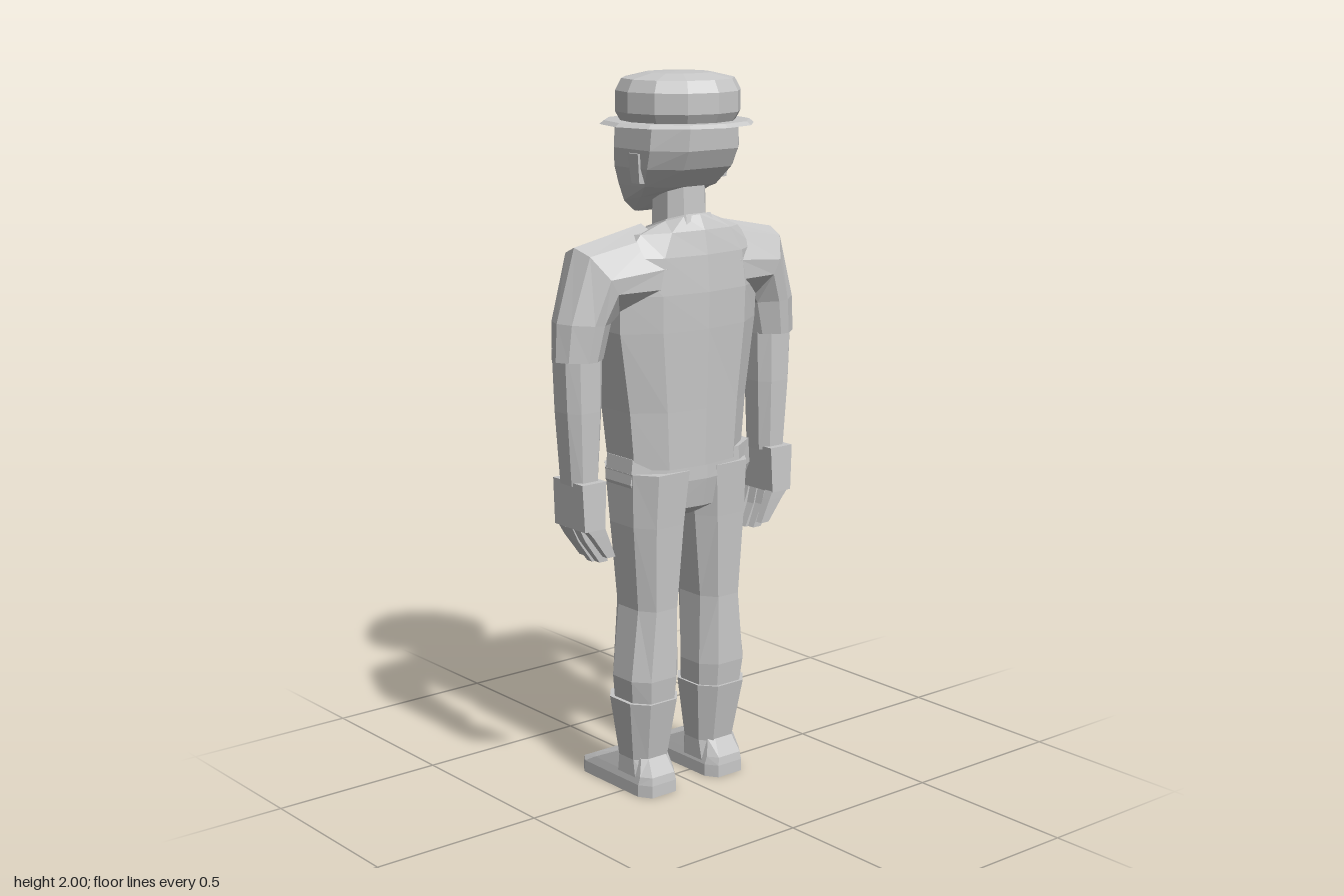
import * as THREE from 'three';

const grey = new THREE.MeshStandardMaterial({ color: 0xc8c8c8, flatShading: true });
grey.name = 'plain grey';

// Cross-sections in unit coordinates: u across the limb, w along z
const quad = (pts) => [
  ...pts, ...pts.map(([u, w]) => [-u, w]).reverse(),
  ...pts.map(([u, w]) => [-u, -w]), ...pts.map(([u, w]) => [u, -w]).reverse(),
].filter((p, i, all) => {
  const q = all[(i + 1) % all.length];
  return Math.hypot(p[0] - q[0], p[1] - q[1]) > 1e-6;
});
const OCT = quad([[1, 0.5], [0.55, 1]]);
const LENS = quad([[1, 0.45], [0.6, 0.88], [0, 1]]);
const POINTED = quad([[1, 0], [0.8, 0.55], [0.2, 1]]);
const SHOE = quad([[1, 0.78], [0.65, 1]]);
const BOX = quad([[1, 1]]);

// Rings run from a to b in the xy plane and from z0 to z1; tilt raises the +z edge
const ring = (ax, ay, bx, by, z0, z1, tilt = 0) => ({ ax, ay, bx, by, z0, z1, tilt });
const flat = (y, x0, x1, z0, z1, tilt = 0) => ring(x0, y, x1, y, z0, z1, tilt);

// Closed, faceted skin through a row of rings; side -1 mirrors it in x
function loft(name, section, rings, side = 1) {
  const n = section.length;
  const rows = rings.map((r) => section.map(([u, w]) => new THREE.Vector3(
    side * (r.ax + (r.bx - r.ax) * (u + 1) / 2),
    r.ay + (r.by - r.ay) * (u + 1) / 2 + r.tilt * w,
    r.z0 + (r.z1 - r.z0) * (w + 1) / 2)));
  const tris = [];
  for (let i = 0; i + 1 < rows.length; i++) {
    for (let j = 0; j < n; j++) {
      const k = (j + 1) % n;
      const [a, b, c, d] = [rows[i][j], rows[i][k], rows[i + 1][k], rows[i + 1][j]];
      tris.push([a, b, c], [a, c, d]);
    }
  }
  const last = rows[rows.length - 1];
  for (let j = 1; j + 1 < n; j++) {
    tris.push([rows[0][0], rows[0][j + 1], rows[0][j]], [last[0], last[j], last[j + 1]]);
  }
  // Turn the skin outwards if its volume is negative
  const volume = tris.reduce((v, [a, b, c]) => v + a.dot(b.clone().cross(c)), 0);
  if (volume < 0) tris.forEach((t) => t.reverse());
  const geometry = new THREE.BufferGeometry().setFromPoints(tris.flat());
  geometry.computeVertexNormals();
  return mesh(name, geometry);
}

function mesh(name, geometry, x = 0, y = 0, z = 0) {
  const m = new THREE.Mesh(geometry, grey);
  m.name = name;
  m.position.set(x, y, z);
  return m;
}
const box = (name, w, h, d, x, y, z) => mesh(name, new THREE.BoxGeometry(w, h, d), x, y, z);

function part(name, ...children) {
  const g = new THREE.Group();
  g.name = name;
  g.add(...children);
  return g;
}

function makeHat() {
  const brim = mesh('brim', new THREE.CylinderGeometry(0.197, 0.21, 0.01, 12), 0, 1.866, 0.008);
  const profile = [[0.155, 1.865], [0.172, 1.895], [0.172, 1.95], [0.155, 1.982], [0.09, 1.997], [0, 2]]
    .map(([r, y]) => new THREE.Vector2(r, y));
  const crown = mesh('crown', new THREE.LatheGeometry(profile, 12), 0, 0, 0.013);
  crown.scale.z = 0.97;
  return part('hat', brim, crown);
}

function makeHead() {
  const head = part('head',
    loft('skull', OCT, [
      flat(1.87, -0.15, 0.15, -0.148, 0.165),
      flat(1.8, -0.155, 0.155, -0.145, 0.16),
      flat(1.75, -0.15, 0.15, -0.142, 0.135),
      flat(1.7, -0.13, 0.13, -0.135, 0.085),
      flat(1.66, -0.105, 0.105, -0.125, 0.02, 0.015),
      flat(1.625, -0.06, 0.06, -0.118, -0.05, 0.01),
    ]),
    loft('neck', OCT, [
      flat(1.73, -0.065, 0.065, -0.045, 0.078),
      flat(1.56, -0.068, 0.068, -0.05, 0.085),
    ]),
    loft('nose', BOX, [
      flat(1.8, -0.012, 0.012, -0.15, -0.12),
      flat(1.74, -0.026, 0.026, -0.168, -0.12),
      flat(1.725, -0.022, 0.022, -0.158, -0.12),
    ]),
    box('upperLip', 0.07, 0.012, 0.03, 0, 1.69, -0.126),
    box('lowerLip', 0.06, 0.012, 0.03, 0, 1.664, -0.122));
  for (const s of [1, -1]) {
    head.add(
      loft('ear', BOX, [
        flat(1.79, 0.14, 0.162, -0.003, 0.042),
        flat(1.71, 0.13, 0.152, 0.003, 0.036),
      ], s),
      loft('brow', BOX, [
        ring(0.02, 1.806, 0.085, 1.815, -0.156, -0.13),
        ring(0.02, 1.792, 0.085, 1.8, -0.152, -0.13),
      ], s),
      box('eye', 0.038, 0.014, 0.008, s * 0.052, 1.776, -0.145),
      loft('moustache', BOX, [
        ring(0, 1.72, 0.06, 1.702, -0.15, -0.11),
        ring(0, 1.704, 0.066, 1.688, -0.143, -0.1),
      ], s));
  }
  return head;
}

function makeShirt() {
  const shirt = part('shirt',
    loft('shirtBody', LENS, [
      flat(0.94, -0.19, 0.19, -0.13, 0.13),
      flat(1.1, -0.205, 0.205, -0.143, 0.135),
      flat(1.32, -0.238, 0.238, -0.16, 0.143),
      flat(1.42, -0.24, 0.24, -0.155, 0.145),
      flat(1.52, -0.225, 0.225, -0.125, 0.138),
      flat(1.575, -0.17, 0.17, -0.1, 0.125, 0.01),
      flat(1.595, -0.08, 0.08, -0.075, 0.105, 0.03),
    ]),
    loft('collar', OCT, [
      flat(1.57, -0.09, 0.09, -0.085, 0.11, 0.025),
      flat(1.6, -0.078, 0.078, -0.07, 0.098, 0.027),
    ]));
  for (const s of [1, -1]) {
    shirt.add(loft('sleeve', POINTED, [
      ring(0.14, 1.33, 0.12, 1.6, -0.12, 0.125),
      ring(0.225, 1.355, 0.345, 1.555, -0.095, 0.1),
      ring(0.243, 1.35, 0.405, 1.36, -0.078, 0.085),
      ring(0.268, 1.258, 0.412, 1.258, -0.062, 0.075),
    ], s));
  }
  return shirt;
}

function makeArm(s) {
  const arm = part(s > 0 ? 'leftArm' : 'rightArm',
    loft('forearm', OCT, [
      flat(1.29, 0.275, 0.4, -0.056, 0.06),
      flat(1.12, 0.28, 0.393, -0.055, 0.058),
      flat(0.92, 0.29, 0.378, -0.05, 0.05),
    ], s),
    loft('palm', BOX, [
      flat(0.93, 0.296, 0.376, -0.06, 0.07),
      flat(0.8, 0.302, 0.37, -0.062, 0.072),
    ], s),
    loft('thumb', BOX, [
      flat(0.92, 0.285, 0.33, -0.085, -0.045),
      flat(0.86, 0.268, 0.312, -0.118, -0.075),
      flat(0.8, 0.262, 0.29, -0.11, -0.085),
    ], s));
  // Four fingers curling inwards
  for (let i = 0; i < 4; i++) {
    const z = -0.061 + i * 0.034;
    const drop = [0.01, 0, 0.005, 0.025][i];
    arm.add(loft('finger', BOX, [
      flat(0.81, 0.305, 0.367, z, z + 0.03),
      flat(0.755 + drop, 0.292, 0.34, z + 0.001, z + 0.029),
      flat(0.69 + drop, 0.264, 0.292, z + 0.004, z + 0.026),
    ], s));
  }
  return arm;
}

function makeLeg(s) {
  return part(s > 0 ? 'leftLeg' : 'rightLeg',
    loft('trouserLeg', OCT, [
      flat(0.93, 0.005, 0.2, -0.118, 0.122),
      flat(0.78, 0.022, 0.196, -0.096, 0.112),
      flat(0.54, 0.045, 0.178, -0.075, 0.1),
      flat(0.34, 0.04, 0.204, -0.066, 0.1),
      flat(0.27, 0.045, 0.195, -0.068, 0.092),
    ], s),
    loft('boot', OCT, [
      flat(0.275, 0.038, 0.207, -0.08, 0.1),
      flat(0.1, 0.058, 0.182, -0.058, 0.068),
      flat(0.04, 0.058, 0.185, -0.07, 0.09),
    ], s),
    loft('shoe', SHOE, [
      flat(0, 0.056, 0.188, -0.216, 0.1),
      flat(0.035, 0.056, 0.188, -0.212, 0.1),
      flat(0.058, 0.062, 0.183, -0.165, 0.097),
      flat(0.105, 0.075, 0.17, -0.05, 0.07),
    ], s));
}

// Holstered sidearm hanging at the front of the left thigh
function makeSidearm() {
  const holster = part('sidearm',
    box('grip', 0.035, 0.1, 0.03, 0, 0.1, -0.012),
    box('beltLoop', 0.05, 0.025, 0.025, 0, 0.14, 0.01),
    box('frame', 0.04, 0.08, 0.045, 0, 0.02, 0.005),
    box('barrel', 0.024, 0.12, 0.025, 0.008, -0.06, 0.008),
    box('muzzle', 0.04, 0.04, 0.045, 0, -0.11, 0.012));
  const drum = mesh('drum', new THREE.CylinderGeometry(0.024, 0.024, 0.045, 6), 0, 0.01, -0.01);
  holster.add(drum);
  holster.position.set(0.158, 0.74, -0.085);
  holster.rotation.x = -0.08;
  return holster;
}

export function createModel() {
  const model = part('standingMan', makeHat(), makeHead(), makeShirt(),
    loft('trouserSeat', LENS, [
      flat(0.97, -0.195, 0.222, -0.125, 0.125),
      flat(0.9, -0.203, 0.226, -0.122, 0.125),
      flat(0.82, -0.17, 0.19, -0.095, 0.108),
      flat(0.79, -0.05, 0.05, -0.05, 0.06),
    ]),
    makeSidearm());
  for (const s of [1, -1]) model.add(makeArm(s), makeLeg(s));
  return model;
}
